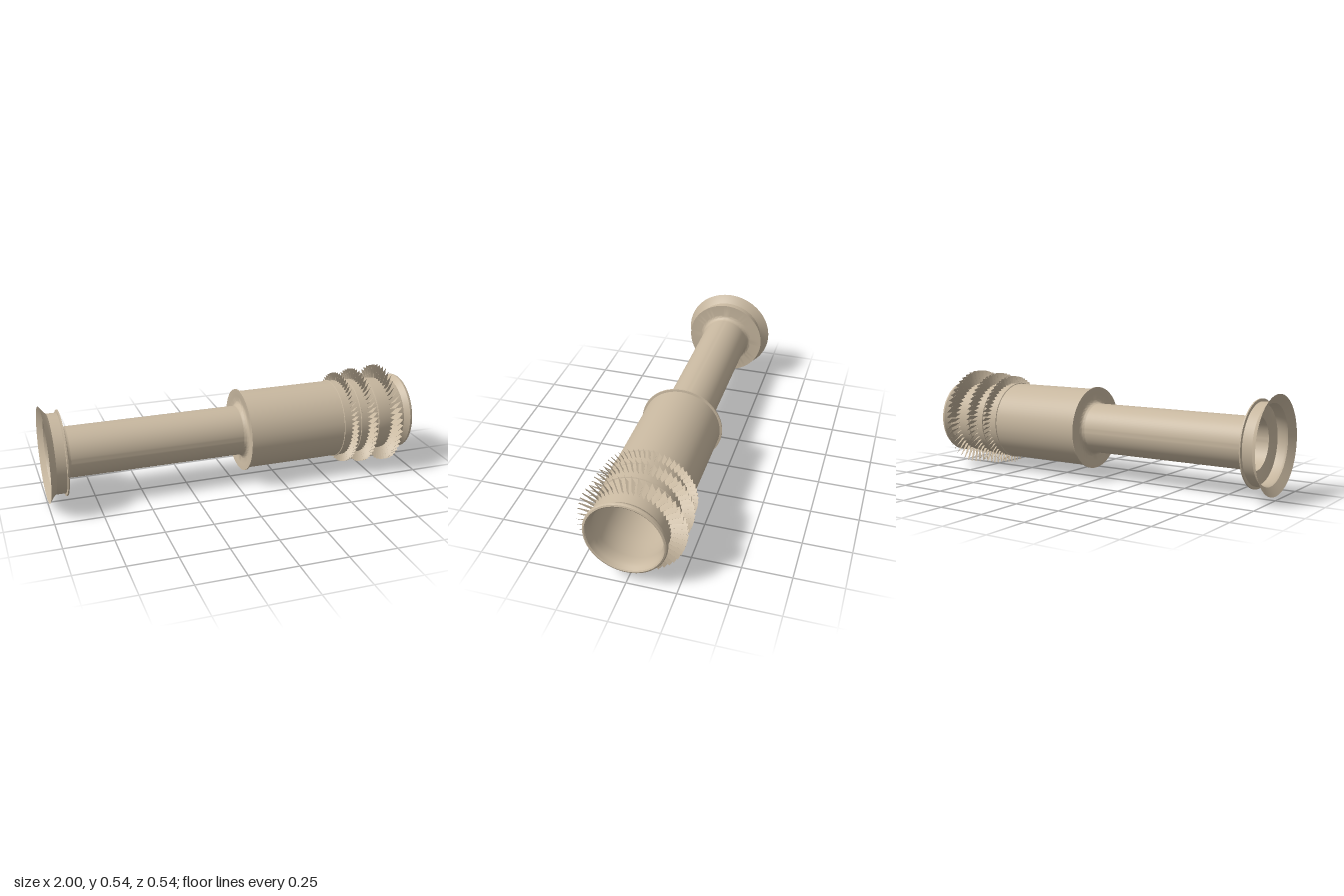
import * as THREE from 'three';
import { mergeGeometries, toCreasedNormals } from 'three/addons/utils/BufferGeometryUtils.js';

const material = new THREE.MeshStandardMaterial({ color: 0xc8b8a0, side: THREE.DoubleSide });

// Revolve a profile of [x, radius] points around the x axis.
function revolve(name, profile) {
  const points = profile.map(([x, r]) => new THREE.Vector2(r, x));
  const geometry = new THREE.LatheGeometry(points, 96).rotateZ(-Math.PI / 2);
  const mesh = new THREE.Mesh(toCreasedNormals(geometry, 0.6), material);
  mesh.name = name;
  return mesh;
}

// Quarter-round fillet between a wall and the shaft.
function fillet(cx, cr, radius, from, to, steps = 6) {
  return Array.from({ length: steps + 1 }, (_, i) => {
    const a = from + (to - from) * i / steps;
    return [cx + radius * Math.cos(a), cr + radius * Math.sin(a)];
  });
}

// One thin, cambered blade pointing up, twisted from root to tip.
function bladeGeometry(root, tip, width) {
  const geometry = new THREE.BoxGeometry(1, 1, 1, 5, 4, 1);
  const p = geometry.attributes.position;
  for (let i = 0; i < p.count; i++) {
    const u = p.getX(i);
    const h = p.getY(i) + 0.5;
    const pitch = Math.tan(THREE.MathUtils.lerp(0.5, 0.72, h));
    const camber = 0.1 * width * (1 - 4 * u * u) * (1 - 0.5 * h);
    const thickness = 0.005 * (1 - 0.6 * h) * (1.15 - 2 * Math.abs(u));
    p.setXYZ(i, u * width, root + (tip - root) * h,
      -u * width * pitch + camber + p.getZ(i) * thickness);
  }
  return toCreasedNormals(geometry, 0.6);
}

function bladeRow(name, x, root, tip, width, count) {
  const blade = bladeGeometry(root, tip, width);
  const blades = [];
  for (let i = 0; i < count; i++) {
    blades.push(blade.clone().rotateX((i + 0.5) / count * Math.PI * 2));
  }
  const mesh = new THREE.Mesh(mergeGeometries(blades), material);
  mesh.name = name;
  mesh.position.x = x;
  return mesh;
}

export function createModel() {
  const model = new THREE.Group();
  model.name = 'turbineSpool';
  const spool = new THREE.Group();
  spool.name = 'spool';
  spool.position.y = 0.27;
  model.add(spool);

  // Hollow connecting shaft
  spool.add(revolve('shaft', [[-0.9, 0.133], [0.06, 0.133]]));

  // Flared coupling with a flange, blended into the shaft
  spool.add(revolve('flaredCoupling', [
    ...fillet(-0.88, 0.158, 0.025, Math.PI * 1.5, Math.PI),
    [-0.905, 0.222], [-0.912, 0.222], [-0.914, 0.208], [-0.965, 0.208],
    [-0.98, 0.222], [-1, 0.25], [-0.972, 0.205], [-0.96, 0.2],
    [-0.918, 0.2], [-0.912, 0.17], [-0.9, 0.133],
  ]));

  // Main drum: end wall, flange, stepped casing and turned lip
  spool.add(revolve('drum', [
    ...fillet(0.035, 0.158, 0.025, Math.PI * 1.5, Math.PI * 2),
    [0.055, 0.185], [0.052, 0.221], [0.058, 0.221], [0.06, 0.209],
    [0.585, 0.209], [0.587, 0.213], [0.593, 0.213], [0.595, 0.209],
    [0.685, 0.207], [0.687, 0.211], [0.693, 0.211], [0.695, 0.207],
    [0.79, 0.203], [0.792, 0.208], [0.798, 0.208], [0.8, 0.203],
    [0.86, 0.199], [0.91, 0.192], [0.955, 0.186],
    [0.97, 0.196], [0.983, 0.207], [0.99, 0.207], [0.997, 0.203],
    [1, 0.195], [0.996, 0.189], [0.975, 0.182], [0.955, 0.176],
    [0.91, 0.183], [0.86, 0.19], [0.79, 0.195], [0.6, 0.2],
    [0.12, 0.2], [0.09, 0.185], [0.07, 0.158], [0.06, 0.133],
  ]));

  // Three blade rows, growing toward the lip
  [
    [0.64, 0.205, 0.25, 0.026, 58],
    [0.743, 0.201, 0.262, 0.034, 54],
    [0.885, 0.191, 0.27, 0.04, 50],
  ].forEach((row, i) => spool.add(bladeRow(`bladeRow${i + 1}`, ...row)));

  return model;
}
